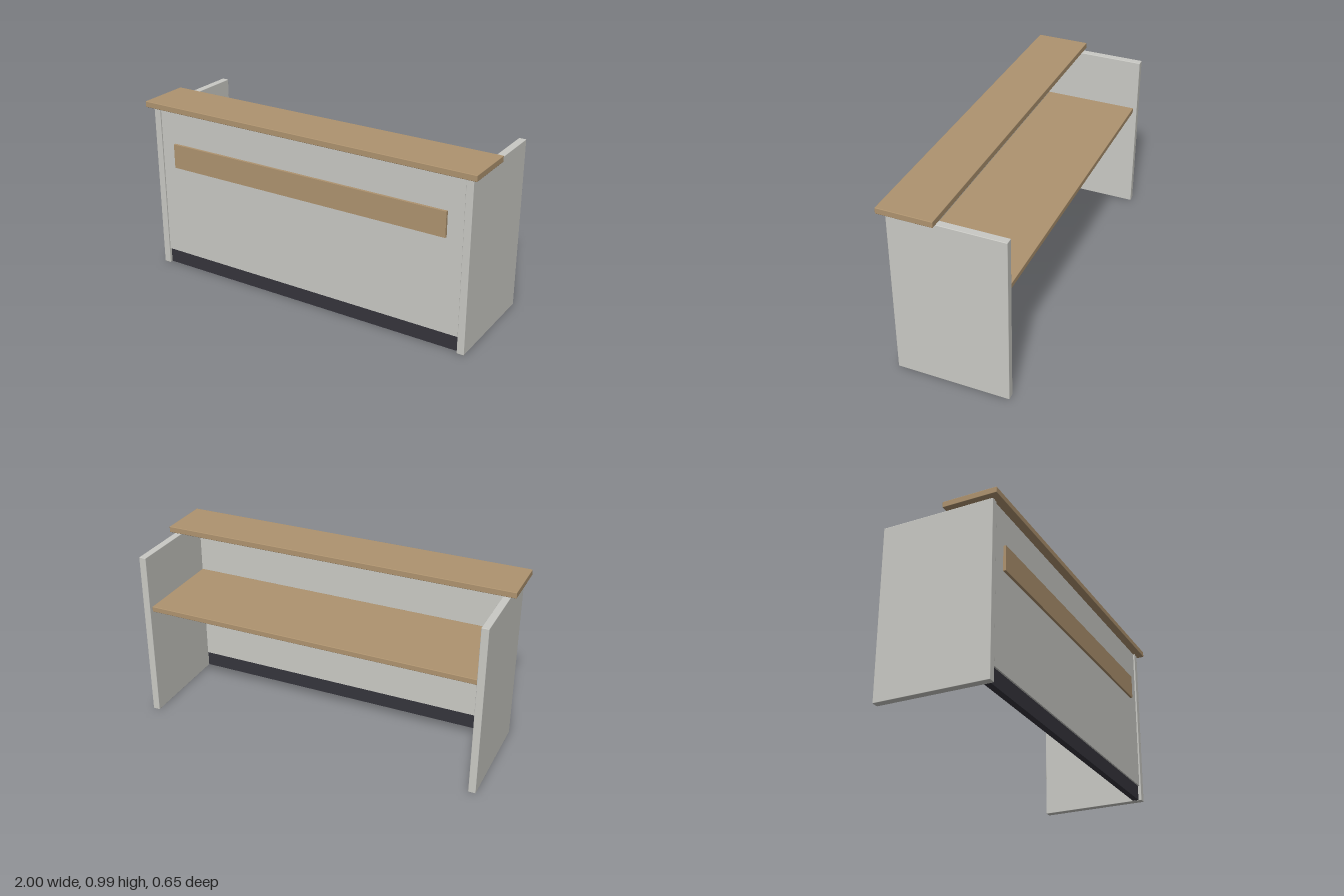
import * as THREE from 'three';
import { RoundedBoxGeometry } from 'three/addons/geometries/RoundedBoxGeometry.js';

const material = (name, color) => {
  const m = new THREE.MeshStandardMaterial({ color });
  m.name = name;
  return m;
};

export function createModel() {
  const group = new THREE.Group();
  group.name = 'receptionDesk';
  const wood = material('tan wood', 0xae936f);
  const grey = material('light grey laminate', 0xc9c9c4);
  const dark = material('dark plinth', 0x35343c);

  // Board given by its [min, max] extents, with an optional eased edge
  const board = (name, mat, [x0, x1], [y0, y1], [z0, z1], ease = 0) => {
    const size = [x1 - x0, y1 - y0, z1 - z0];
    const geometry = ease
      ? new RoundedBoxGeometry(...size, 2, ease)
      : new THREE.BoxGeometry(...size);
    const mesh = new THREE.Mesh(geometry, mat);
    mesh.name = name;
    mesh.position.set((x0 + x1) / 2, (y0 + y1) / 2, (z0 + z1) / 2);
    group.add(mesh);
  };

  // End panels
  board('leftSidePanel', grey, [0.93, 0.97], [0, 0.957], [-0.326, 0.292], 0.003);
  board('rightSidePanel', grey, [-0.97, -0.93], [0, 0.957], [-0.326, 0.292], 0.003);

  // Front panel, recessed kick board and accent strip
  board('frontPanel', grey, [-0.93, 0.93], [0.09, 0.957], [0.235, 0.283]);
  board('kickBoard', dark, [-0.93, 0.93], [0.003, 0.09], [0.239, 0.274]);
  board('accentStrip', wood, [-0.84, 0.84], [0.622, 0.761], [0.283, 0.298]);

  // Work surface behind the panel and raised counter above it
  board('workSurface', wood, [-0.93, 0.93], [0.628, 0.658], [-0.304, 0.235], 0.003);
  board('counterTop', wood, [-1, 1], [0.959, 0.992], [0.029, 0.327], 0.003);

  return group;
}
